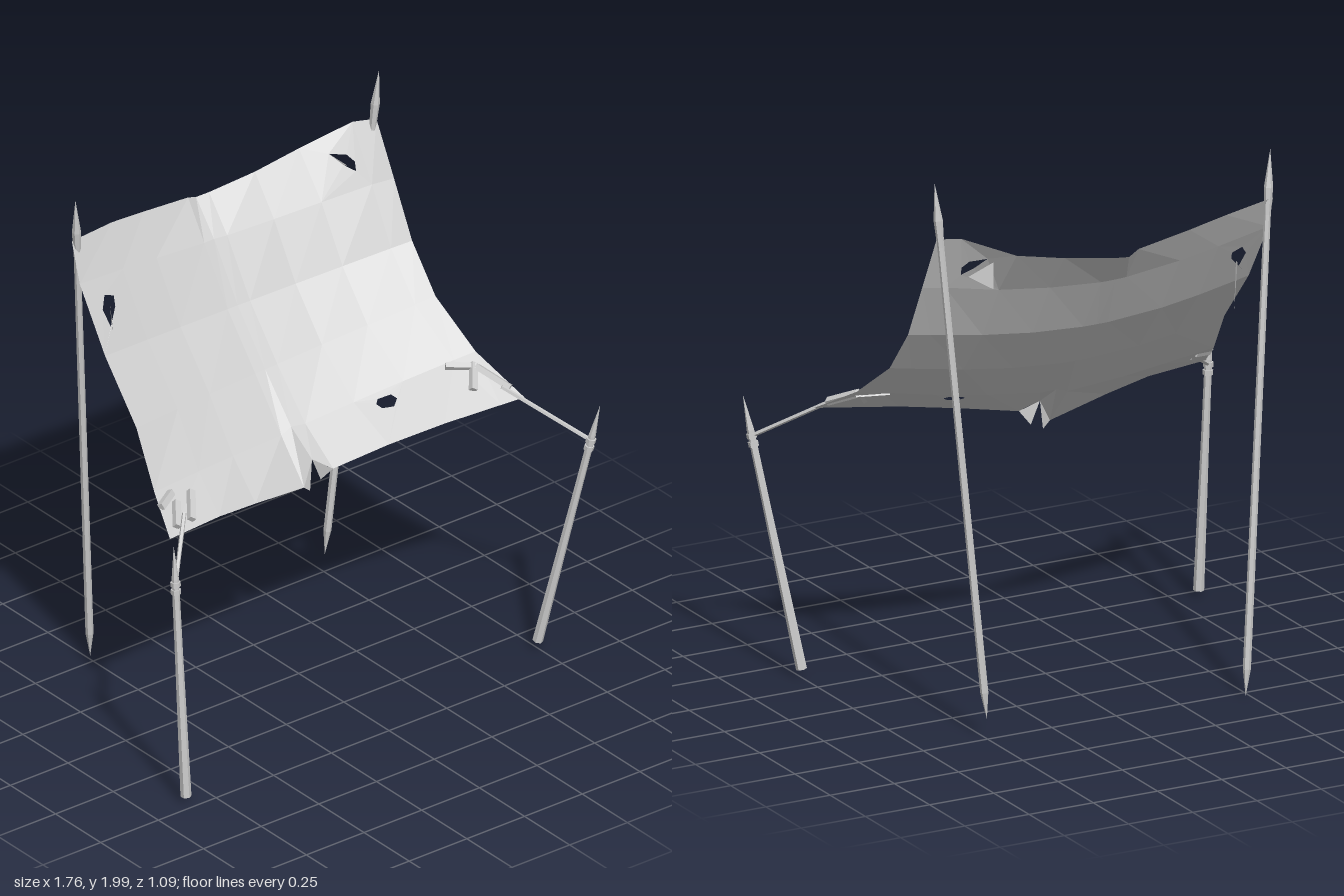
import * as THREE from 'three';

const V = (x, y, z) => new THREE.Vector3(x, y, z);
const toVecs = (list) => list.map((p) => V(...p));
const grey = new THREE.MeshStandardMaterial({ color: 0xcccccc, flatShading: true });
const greyThin = new THREE.MeshStandardMaterial({ color: 0xcccccc, flatShading: true, side: THREE.DoubleSide });

// The four borders of the cloth
const left = toVecs([[-.77, .93, .27], [-.72, 1.03, .12], [-.68, 1.2, -.03], [-.675, 1.4, -.21], [-.675, 1.62, -.35], [-.655, 1.75, -.42]]);
const right = toVecs([[.72, .99, .33], [.665, 1.1, .13], [.64, 1.24, -.06], [.64, 1.4, -.19], [.64, 1.6, -.29], [.63, 1.8, -.375]]);
const lower = toVecs([[-.77, .93, .27], [-.49, .92, .235], [-.11, .855, .17], [-.06, .94, .15], [0, .9, .19], [.24, .94, .23],
  [.43, .965, .27], [.72, .99, .33]]);
const upper = toVecs([[-.655, 1.75, -.42], [-.56, 1.755, -.44], [-.38, 1.72, -.475], [-.11, 1.695, -.497], [-.04, 1.665, -.515],
  [.12, 1.68, -.495], [.38, 1.73, -.475], [.55, 1.8, -.41], [.63, 1.8, -.375]]);
const sag = V(0, -.05, -.075);

// Piecewise linear sampling, by even steps or by x
function sample(points, t, byX) {
  const n = points.length - 1;
  const key = (i) => byX ? (points[i].x - points[0].x) / (points[n].x - points[0].x) : i / n;
  let i = 0;
  while (i < n - 1 && t > key(i + 1)) i++;
  return points[i].clone().lerp(points[i + 1], (t - key(i)) / (key(i + 1) - key(i)));
}

// Cloth surface: border shape at the ends fades into a smooth sag inside
function clothPoint(u, v) {
  const low = sample(lower, u, true).sub(left[0].clone().lerp(right[0], u));
  const high = sample(upper, u, true).sub(left[5].clone().lerp(right[5], u));
  const smooth = sag.clone().multiplyScalar(Math.sin(Math.PI * u));
  const inner = Math.sqrt(Math.max(0, Math.sin(Math.PI * v)));
  return sample(left, v).lerp(sample(right, v), u).add(low.lerp(high, v).lerp(smooth, inner));
}

// Cloth parameters below a given front position
function findUV(x, y) {
  const uv = new THREE.Vector2(.5, .5);
  for (let i = 0; i < 80; i++) {
    const p = clothPoint(uv.x, uv.y);
    uv.x += (x - p.x) / 1.6;
    uv.y += (y - p.y) / 1.2;
  }
  return uv;
}

function buildCloth() {
  const holes = [
    [[-.615, 1.52], [-.605, 1.465], [-.555, 1.51], [-.545, 1.54], [-.585, 1.555]],
    [[.45, 1.71], [.485, 1.67], [.52, 1.645], [.525, 1.675], [.505, 1.7]],
    [[.26, 1.02], [.27, 1.01], [.31, 1.01], [.335, 1.025], [.325, 1.035], [.275, 1.03]],
  ].map((hole) => hole.map(([x, y]) => findUV(x, y)));
  const cols = [0, .16, .28, .443, .4765, .517, .66, .8, .94, 1];
  const rows = [0, .2, .4, .6, .8, 1];
  const positions = [];
  for (let i = 0; i < cols.length - 1; i++) {
    for (let j = 0; j < rows.length - 1; j++) {
      const [a, b, c, d] = [cols[i], cols[i + 1], rows[j], rows[j + 1]];
      const outline = [[a, c], [b, c], [b, d], [a, d]].map((p) => new THREE.Vector2(...p));
      const inside = holes.filter(([p]) => p.x > a && p.x < b && p.y > c && p.y < d);
      const corners = [...outline, ...inside.flat()];
      for (const face of THREE.ShapeUtils.triangulateShape(outline, inside)) {
        for (const k of face) positions.push(...clothPoint(corners[k].x, corners[k].y).toArray());
      }
    }
  }
  return triangles('cloth', positions);
}

function triangles(name, positions) {
  const geometry = new THREE.BufferGeometry();
  geometry.setAttribute('position', new THREE.Float32BufferAttribute(positions, 3));
  geometry.computeVertexNormals();
  const mesh = new THREE.Mesh(geometry, greyThin);
  mesh.name = name;
  return mesh;
}

// Places a mesh whose length runs along y between two points
function span(name, geometry, a, b) {
  const mesh = new THREE.Mesh(geometry, grey);
  mesh.name = name;
  mesh.position.copy(a).lerp(b, .5);
  mesh.quaternion.setFromUnitVectors(V(0, 1, 0), b.clone().sub(a).normalize());
  return mesh;
}

// Six-sided stake; profile holds [radius, height from 0 to 1]
function stake(name, a, b, profile) {
  const length = a.distanceTo(b);
  const points = profile.map(([r, t]) => new THREE.Vector2(r, (t - .5) * length));
  return span(name, new THREE.LatheGeometry(points, 6), a, b);
}

export function createModel() {
  const group = new THREE.Group();
  group.add(buildCloth());

  // Rags hanging behind the torn holes and beside the tear in the lower edge
  group.add(triangles('tornFlap', [-.61, 1.47, -.25, -.56, 1.51, -.33, -.58, 1.31, -.28]));
  group.add(triangles('tornFlap', [.45, 1.71, -.45, .515, 1.65, -.39, .46, 1.62, -.47]));
  group.add(triangles('tearTip', [-.11, .855, .17, -.08, .83, .165, -.06, .94, .15]));
  group.add(triangles('tearTip', [-.06, .94, .15, -.03, .855, .16, 0, .9, .19]));

  // Tall rear stakes, sharpened at both ends
  const rear = [[0, 0], [.014, .05], [.013, .5], [.012, .88], [.016, .93], [0, 1]];
  group.add(stake('rearRightStake', V(-.485, .01, -.535), V(-.655, 1.92, -.4), rear));
  group.add(stake('rearLeftStake', V(.5, .08, -.495), V(.63, 2, -.36), rear));

  // Short front stakes with ropes to the cloth corners
  const front = [[0, 0], [.019, 0], [.014, .6], [.013, .87], [0, 1]];
  const sides = [
    ['Right', V(-.845, .03, .455), V(-.867, 1, .415), V(-.68, .985, .235)],
    ['Left', V(.75, .04, .365), V(.88, 1, .545), V(.66, 1.03, .28)],
  ];
  for (const [side, foot, tip, corner] of sides) {
    group.add(stake(`front${side}Stake`, foot, tip, front));
    const knot = foot.clone().lerp(tip, .85);
    group.add(span(`rope${side}`, new THREE.CylinderGeometry(.008, .008, knot.distanceTo(corner), 5), knot, corner));
    for (const t of [.82, .85]) {
      group.add(span(`ropeWrap${side}`, new THREE.CylinderGeometry(.018, .018, .018, 6),
        foot.clone().lerp(tip, t - .01), foot.clone().lerp(tip, t + .01)));
    }
  }

  // Small wooden pegs pinning the front corners
  const pegs = [
    [-.735, .995, -.66, 1.01], [-.72, .945, -.665, .99], [-.65, .945, -.585, .995],
    [.54, 1.075, .64, 1.065], [.575, 1.02, .63, 1.075], [.63, 1.07, .69, 1.015],
  ];
  pegs.forEach(([x0, y0, x1, y1], i) => {
    const ends = [[x0, y0], [x1, y1]].map(([x, y]) => {
      const uv = findUV(x, y);
      return clothPoint(uv.x, uv.y).add(V(0, .006, .004 + .004 * (i % 3)));
    });
    group.add(span('peg', new THREE.BoxGeometry(.024, ends[0].distanceTo(ends[1]), .02), ends[0], ends[1]));
  });
  return group;
}
